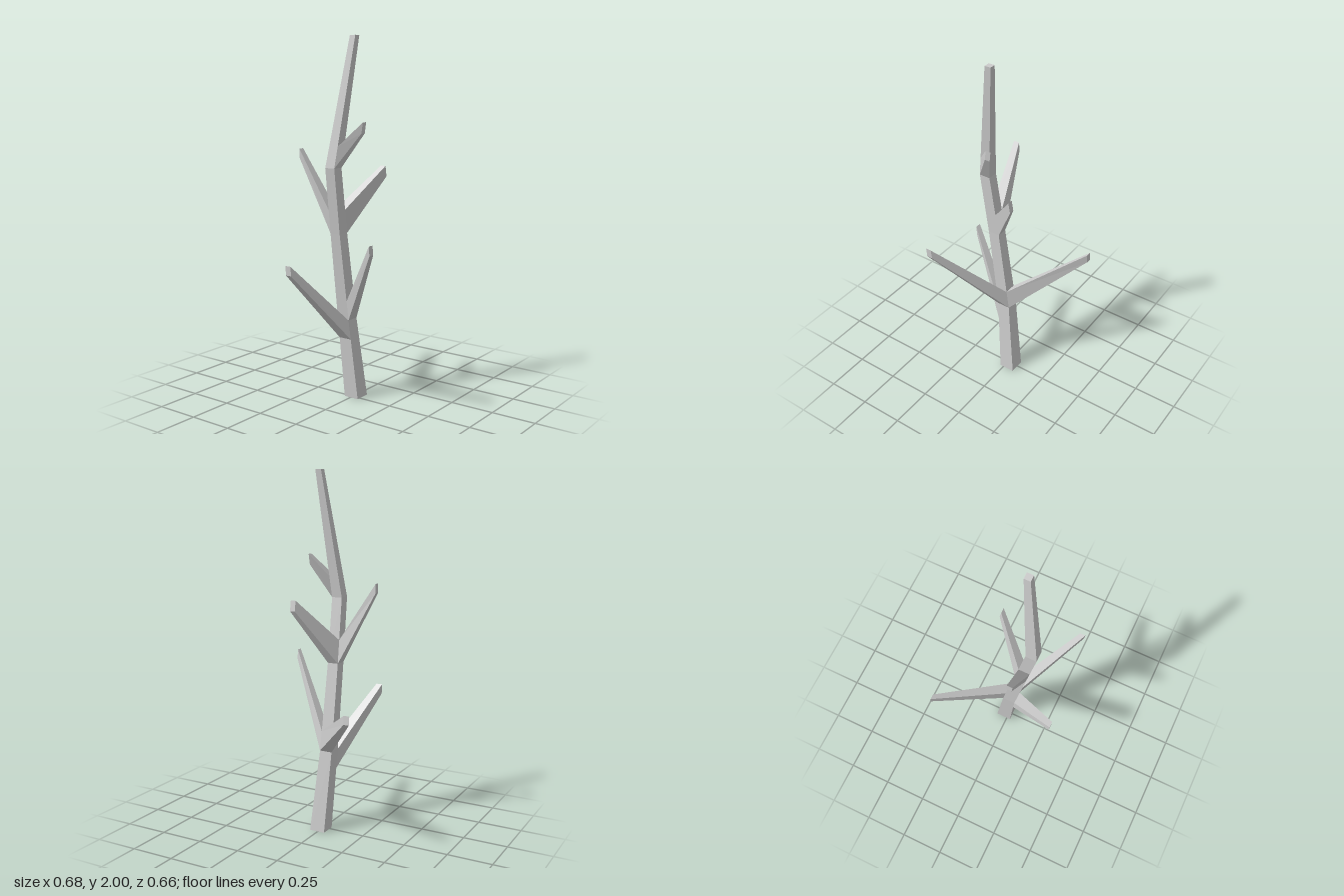
import * as THREE from 'three';

// Trunk sections: y, x min, x max, z min, z max
const sections = [
  [0, -0.022, 0.068, -0.04, 0.05],
  [0.46, -0.06, 0.014, -0.058, 0.015],
  [0.95, -0.127, -0.06, -0.056, 0.006],
  [1.31, -0.178, -0.115, -0.05, 0.01],
  [2, -0.084, -0.049, 0.043, 0.078],
];

// Trunk section at any height
function sectionAt(y) {
  let i = 0;
  while (i < sections.length - 2 && y > sections[i + 1][0]) i++;
  const a = sections[i], b = sections[i + 1];
  const t = (y - a[0]) / (b[0] - a[0]);
  return a.map((v, k) => v + (b[k] - v) * t);
}

// Joins rings of corners (counter-clockwise seen from the last ring) into a closed flat-shaded solid
function loft(name, rings, material) {
  const n = rings[0].length;
  const index = [];
  for (let r = 0; r < rings.length - 1; r++) {
    for (let i = 0; i < n; i++) {
      const j = (i + 1) % n, a = r * n, b = a + n;
      index.push(a + i, a + j, b + j, a + i, b + j, b + i);
    }
  }
  const last = (rings.length - 1) * n;
  for (let i = 1; i < n - 1; i++) {
    index.push(0, i + 1, i, last, last + i, last + i + 1);
  }
  const indexed = new THREE.BufferGeometry();
  indexed.setAttribute('position', new THREE.Float32BufferAttribute(rings.flat(2), 3));
  indexed.setIndex(index);
  const geometry = indexed.toNonIndexed();
  geometry.computeVertexNormals();
  const mesh = new THREE.Mesh(geometry, material);
  mesh.name = name;
  return mesh;
}

// The two corners of one trunk side at height y, left to right seen from outside
function edge(side, y) {
  const [, x0, x1, z0, z1] = sectionAt(y);
  return {
    front: [[x0, y, z1], [x1, y, z1]],
    right: [[x1, y, z1], [x1, y, z0]],
    back: [[x1, y, z0], [x0, y, z0]],
    left: [[x0, y, z0], [x0, y, z1]],
  }[side];
}

// Branches: the trunk side and heights they leave from, and the corners of the tip
const branches = [
  { name: 'lowerFrontBranch', side: 'front', from: 0.46, to: 0.57,
    tip: [[-0.308, 0.902, 0.33], [-0.275, 0.902, 0.33], [-0.281, 0.953, 0.33], [-0.313, 0.953, 0.33]] },
  { name: 'lowerLeftBranch', side: 'right', from: 0.46, to: 0.57,
    tip: [[0.338, 0.738, -0.302], [0.338, 0.738, -0.333], [0.334, 0.785, -0.333], [0.334, 0.785, -0.302]] },
  { name: 'lowerRightBranch', side: 'left', from: 0.35, to: 0.46,
    tip: [[-0.338, 0.737, -0.195], [-0.338, 0.737, -0.16], [-0.341, 0.79, -0.16], [-0.341, 0.79, -0.195]] },
  { name: 'upperBackBranch', side: 'back', from: 0.95, to: 1.08,
    tip: [[-0.105, 1.35, -0.26], [-0.137, 1.35, -0.26], [-0.14, 1.4, -0.258], [-0.108, 1.4, -0.258]] },
  { name: 'upperLeftBranch', side: 'right', from: 0.95, to: 1.08,
    tip: [[0.112, 1.252, 0.145], [0.112, 1.252, 0.115], [0.102, 1.31, 0.115], [0.102, 1.31, 0.145]] },
  { name: 'topFrontBranch', side: 'front', from: 1.31, to: 1.425,
    tip: [[-0.07, 1.492, 0.108], [-0.04, 1.492, 0.108], [-0.032, 1.55, 0.111], [-0.062, 1.55, 0.111]] },
];

export function createModel() {
  const group = new THREE.Group();
  group.name = 'bareTree';
  const material = new THREE.MeshStandardMaterial({ color: 0xcccccc, flatShading: true });

  // Bent, tapering trunk
  const trunkRings = sections.map(([y]) => [...edge('front', y), ...edge('back', y)]);
  group.add(loft('trunk', trunkRings, material));

  // Branches grow out of the trunk sides
  for (const { name, side, from, to, tip } of branches) {
    const base = [...edge(side, from), ...edge(side, to).reverse()];
    group.add(loft(name, [base, tip], material));
  }
  return group;
}
